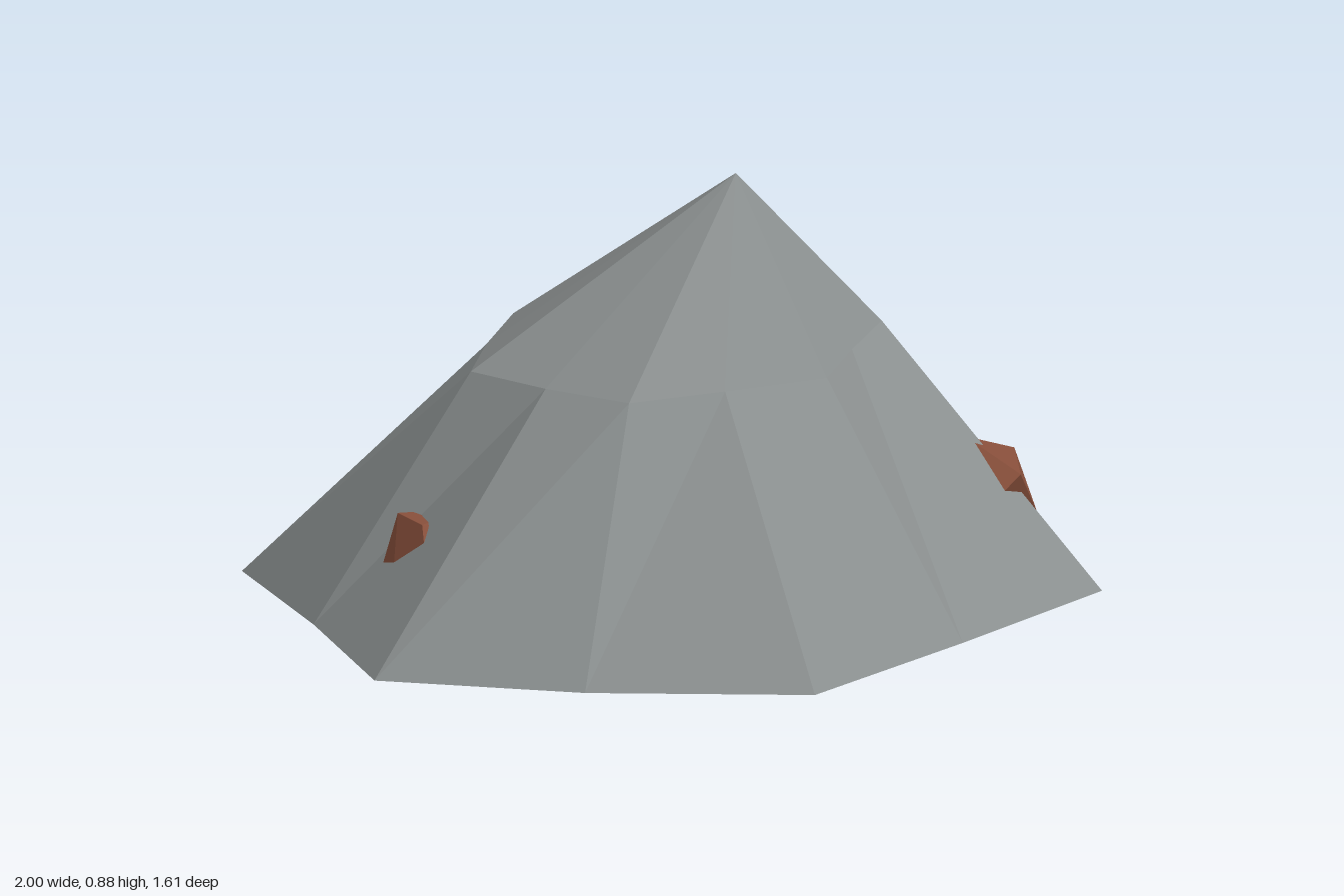
import * as THREE from 'three';
import { ConvexGeometry } from 'three/addons/geometries/ConvexGeometry.js';

// x, z outlines running round from +x towards +z
const BASE = [[1, 0], [0.79, 0.39], [0.52, 0.755], [0.01, 0.785], [-0.51, 0.8], [-0.8, 0.41],
  [-1, 0], [-0.73, -0.38], [-0.49, -0.765], [0.01, -0.805], [0.54, -0.785], [0.79, -0.39]];
const SHOULDER = [[0.455, 0], [0.45, 0.215], [0.23, 0.31], [0.02, 0.41], [-0.2, 0.31], [-0.4, 0.21],
  [-0.42, 0], [-0.41, -0.21], [-0.22, -0.32], [0.01, -0.43], [0.22, -0.32], [0.44, -0.21]];
const APEX = [0.125, 0.885, 0.08];

// Ore lumps: a centre and half of the corners; the other half is mirrored through the centre
const LUMPS = [
  { name: 'frontLeftOre', centre: [0.43, 0.165, 0.41], corners: [
    [0.155, -0.05, 0.12], [0.2, 0.07, 0.02], [0.04, 0.07, 0.165],
    [0.02, 0.135, 0.03], [-0.08, -0.01, 0.14], [0.06, -0.11, 0.08]] },
  { name: 'backLeftOre', centre: [0.53, 0.13, -0.36], corners: [
    [0.18, 0.035, -0.03], [0.16, -0.045, -0.035], [0.15, 0.03, 0.045],
    [0.09, 0.1, 0.015], [0.08, 0.055, -0.085], [0, -0.05, -0.12], [0.02, -0.11, 0.06]] },
  { name: 'backRightOre', centre: [-0.55, 0.13, -0.15], corners: [
    [-0.16, 0.035, 0.06], [-0.18, -0.045, -0.02], [-0.12, 0, -0.095],
    [-0.07, 0.115, -0.09], [-0.1, 0.11, 0], [-0.03, -0.04, 0.13], [-0.08, -0.1, 0.04]] },
];

// Open, faceted shell: a steep skirt below a shallower peak
function shellGeometry() {
  const positions = [];
  const n = BASE.length;
  const low = i => [BASE[i % n][0], 0, BASE[i % n][1]];
  const high = i => [SHOULDER[i % n][0], 0.515, SHOULDER[i % n][1]];
  const tri = (...corners) => corners.forEach(c => positions.push(...c));
  for (let i = 0; i < n; i++) {
    tri(low(i), high(i), low(i + 1));
    tri(high(i), high(i + 1), low(i + 1));
    tri(high(i), APEX, high(i + 1));
  }
  const geometry = new THREE.BufferGeometry();
  geometry.setAttribute('position', new THREE.Float32BufferAttribute(positions, 3));
  geometry.computeVertexNormals();
  return geometry;
}

function lumpGeometry(corners) {
  const half = corners.map(c => new THREE.Vector3(...c));
  return new ConvexGeometry([...half, ...half.map(v => v.clone().negate())]);
}

export function createModel() {
  const stone = new THREE.MeshStandardMaterial({ color: 0x8a8f8f, flatShading: true, side: THREE.DoubleSide });
  stone.name = 'greyStone';
  const ore = new THREE.MeshStandardMaterial({ color: 0x864e3a, flatShading: true });
  ore.name = 'rustyOre';

  const model = new THREE.Group();
  model.name = 'oreMound';

  const shell = new THREE.Mesh(shellGeometry(), stone);
  shell.name = 'rockShell';
  model.add(shell);

  for (const { name, centre, corners } of LUMPS) {
    const lump = new THREE.Mesh(lumpGeometry(corners), ore);
    lump.name = name;
    lump.position.set(...centre);
    model.add(lump);
  }
  return model;
}
